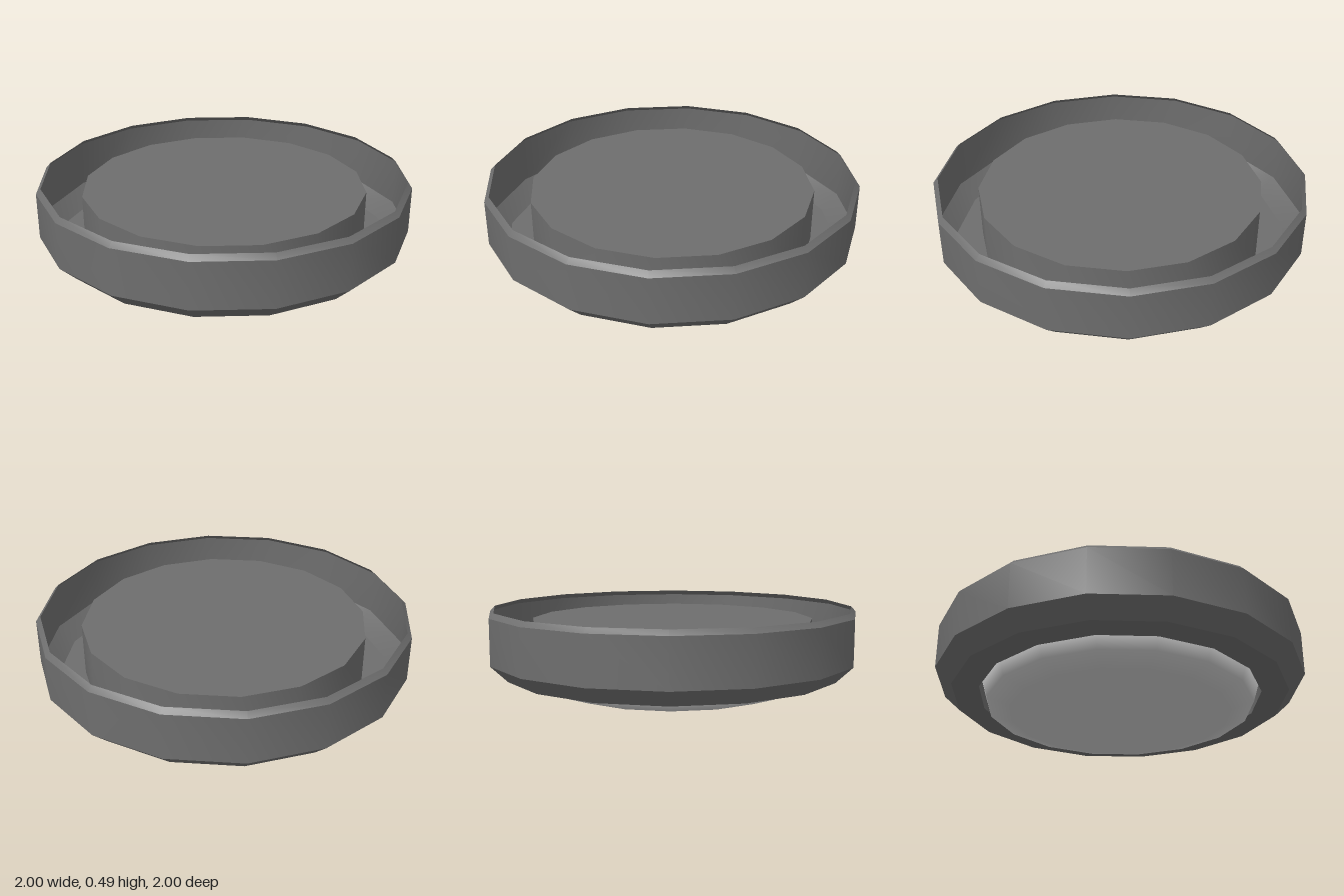
import * as THREE from 'three';
import { toCreasedNormals } from 'three/addons/utils/BufferGeometryUtils.js';

const SIDES = 16;

const darkGrey = new THREE.MeshStandardMaterial({ color: 0x6e6e6e, side: THREE.DoubleSide });
const lightGrey = new THREE.MeshStandardMaterial({ color: 0xcccccc, side: THREE.DoubleSide });

// Revolves a [radius, height] profile, listed from the bottom outside upward
function revolve(name, profile, material, creased) {
  const points = profile.map(([r, y]) => new THREE.Vector2(r, y));
  let geometry = new THREE.LatheGeometry(points, SIDES);
  if (creased) geometry = toCreasedNormals(geometry, 0.5);
  const mesh = new THREE.Mesh(geometry, material);
  mesh.name = name;
  return mesh;
}

export function createModel() {
  const group = new THREE.Group();
  group.name = 'roundDish';

  // Thin outer shell: flat floor ring, chamfer, upright wall and bevelled lip
  group.add(revolve('outerShell', [
    [0.765, 0.126], [0.91, 0.126], [1, 0.212], [1, 0.459], [0.975, 0.485],
  ], darkGrey, true));

  // Raised flat disc inside the shell
  group.add(revolve('innerDisc', [[0.765, 0.126], [0.765, 0.42], [0, 0.42]], darkGrey, true));

  // Shallow smooth lens bulging out underneath, its rim rounding over inside
  group.add(revolve('bottomLens', [
    [0, 0], [0.3, 0.015], [0.59, 0.03], [0.722, 0.073], [0.763, 0.206], [0.6, 0.206], [0, 0.206],
  ], lightGrey, false));

  return group;
}
